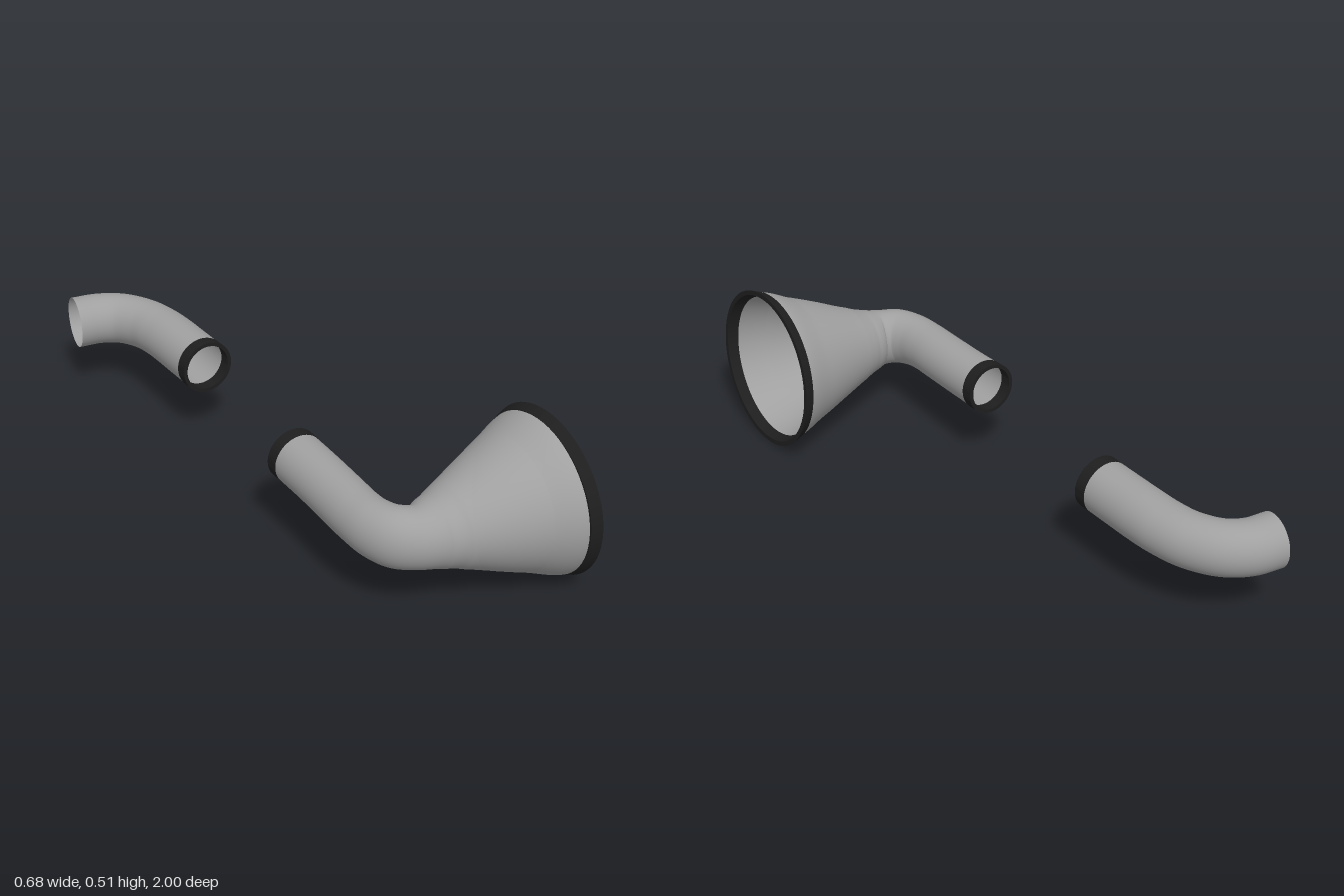
import * as THREE from 'three';
import { toCreasedNormals } from 'three/addons/utils/BufferGeometryUtils.js';

const grey = new THREE.MeshStandardMaterial({ color: 0xa0a0a0, side: THREE.DoubleSide });
const dark = new THREE.MeshStandardMaterial({ color: 0x1e1e1e });
const UP = new THREE.Vector3(0, 1, 0);

// Pipe through stations [x, y, z, radius, vertical radius if different]
function sweep(name, stations, steps = 80, sides = 64) {
  const path = new THREE.CatmullRomCurve3(stations.map(s => new THREE.Vector3(s[0], s[1], s[2])));
  const radii = new THREE.SplineCurve(stations.map(s => new THREE.Vector2(s[3], s[4] ?? s[3])));
  const pos = [], index = [];
  for (let i = 0; i <= steps; i++) {
    const t = i / steps;
    const c = path.getPoint(t), r = radii.getPoint(t);
    const tangent = path.getTangent(t);
    const side = new THREE.Vector3().crossVectors(UP, tangent).normalize();
    const up = new THREE.Vector3().crossVectors(tangent, side);
    for (let j = 0; j < sides; j++) {
      const a = j / sides * Math.PI * 2;
      const p = c.clone().addScaledVector(side, Math.cos(a) * r.x).addScaledVector(up, Math.sin(a) * r.y);
      pos.push(p.x, p.y, p.z);
      if (i < steps) {
        const k = i * sides, n = (j + 1) % sides;
        index.push(k + j, k + n, k + sides + j, k + n, k + sides + n, k + sides + j);
      }
    }
  }
  const geo = new THREE.BufferGeometry();
  geo.setAttribute('position', new THREE.Float32BufferAttribute(pos, 3));
  geo.setIndex(index);
  geo.computeVertexNormals();
  const mesh = new THREE.Mesh(geo, grey);
  mesh.name = name;
  return mesh;
}

// Dark ring whose open face lies at `end`, facing along `dir`
function band(name, end, dir, rBack, rFront, wall, width) {
  const profile = [[rBack, -width], [rFront, 0], [rFront - wall, 0], [rBack - wall, -width], [rBack, -width]]
    .map(p => new THREE.Vector2(...p));
  const mesh = new THREE.Mesh(toCreasedNormals(new THREE.LatheGeometry(profile, 64), 0.6), dark);
  mesh.name = name;
  mesh.position.set(...end);
  mesh.quaternion.setFromUnitVectors(UP, new THREE.Vector3(...dir).normalize());
  return mesh;
}

export function createModel() {
  const model = new THREE.Group();

  // Front piece: pipe that bends into a flared bell
  const horn = new THREE.Group();
  horn.name = 'horn';
  horn.add(sweep('hornPipe', [
    [-0.177, 0.261, 0.202, 0.081],
    [-0.179, 0.257, 0.35, 0.080],
    [-0.184, 0.253, 0.48, 0.079, 0.081],
    [-0.187, 0.250, 0.57, 0.077, 0.083],
    [-0.181, 0.247, 0.64, 0.076, 0.088],
    [-0.156, 0.244, 0.697, 0.077, 0.092],
    [-0.108, 0.241, 0.727, 0.084, 0.093],
    [-0.050, 0.242, 0.733, 0.106, 0.107],
    [0.000, 0.244, 0.734, 0.126],
    [0.100, 0.248, 0.736, 0.166],
    [0.200, 0.252, 0.738, 0.206],
    [0.296, 0.2565, 0.741, 0.2445],
  ], 110));

  // Inner funnel of the bell, open at the throat
  horn.add(sweep('bellFunnel', [[-0.11, 0.241, 0.742, 0.045], [0.323, 0.258, 0.741, 0.244]], 12));
  horn.add(band('bellRim', [0.327, 0.258, 0.741], [1, 0.049, 0.01], 0.2455, 0.2575, 0.015, 0.032));
  horn.add(band('hornCollar', [-0.177, 0.261, 0.2], [0, 0.03, -1], 0.0825, 0.0825, 0.012, 0.04));
  model.add(horn);

  // Back piece: plain curved pipe, open at both ends
  const elbow = new THREE.Group();
  elbow.name = 'elbow';
  elbow.add(sweep('elbowPipe', [
    [-0.114, 0.248, -0.407, 0.084],
    [-0.114, 0.246, -0.52, 0.084],
    [-0.114, 0.245, -0.62, 0.084],
    [-0.118, 0.244, -0.70, 0.083],
    [-0.135, 0.243, -0.785, 0.080, 0.083],
    [-0.182, 0.242, -0.866, 0.078, 0.083],
    [-0.246, 0.241, -0.907, 0.080, 0.083],
    [-0.324, 0.241, -0.921, 0.082, 0.083],
  ]));
  elbow.add(band('elbowCollar', [-0.114, 0.248, -0.405], [0, 0.01, 1], 0.085, 0.085, 0.012, 0.04));
  model.add(elbow);

  return model;
}
